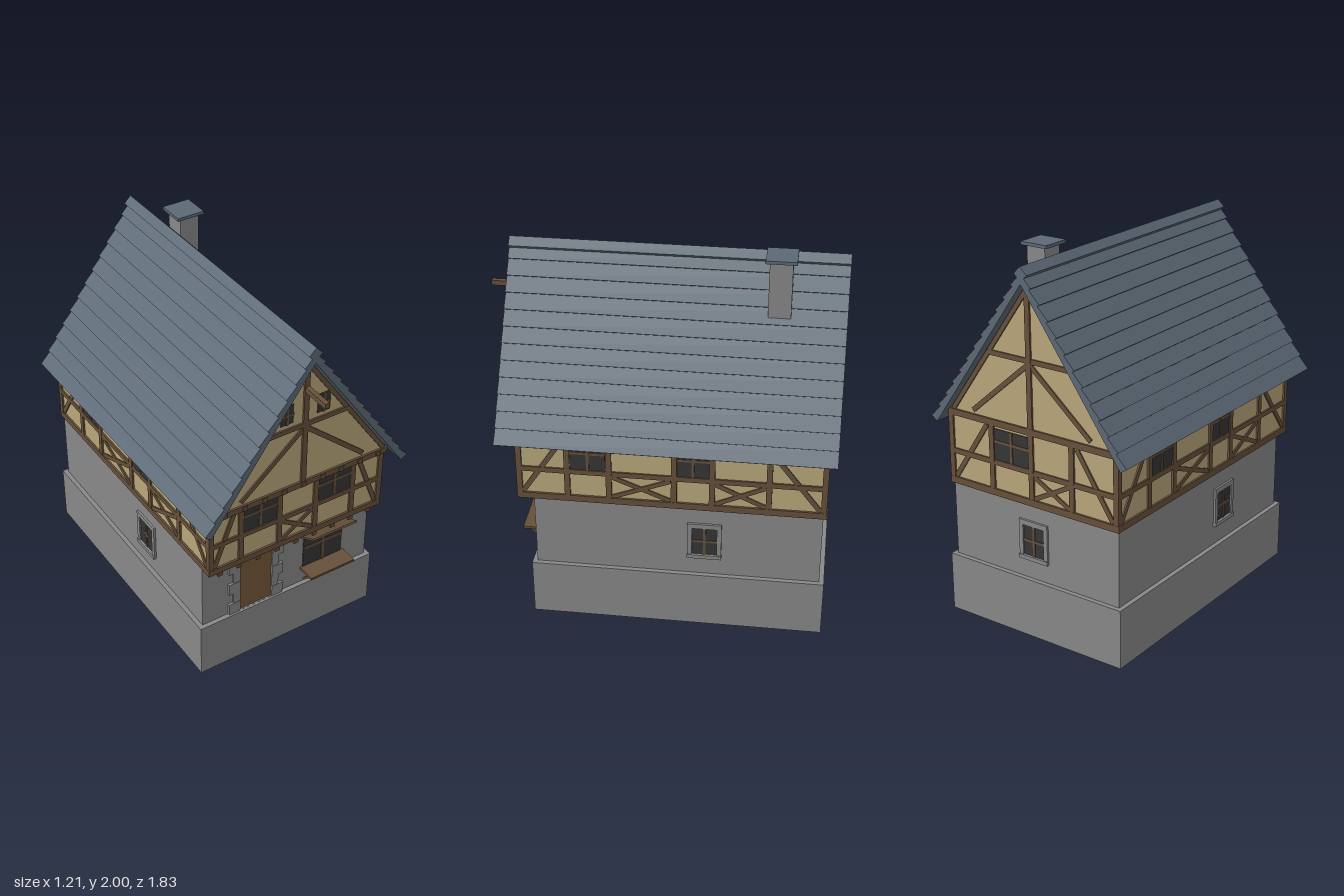
import * as THREE from 'three';

const mat = (name, color) => Object.assign(new THREE.MeshStandardMaterial({ color }), { name });

export function createModel() {
  const root = new THREE.Group();
  root.name = 'timberFrameHouse';
  const stone = mat('stone', 0x888888);
  const plaster = mat('plaster', 0xb8a77a);
  const wood = mat('timber', 0x66503a);
  const doorWood = mat('doorWood', 0x74583a);
  const slate = mat('slate', 0x5c6975);
  const glass = mat('darkGlass', 0x353535);

  const add = (parent, name, geo, m) => {
    const mesh = new THREE.Mesh(geo, m);
    mesh.name = name;
    parent.add(mesh);
    return mesh;
  };
  // box given by its minimum and maximum corners
  const block = (parent, name, m, x0, x1, y0, y1, z0, z1) => {
    const mesh = add(parent, name, new THREE.BoxGeometry(x1 - x0, y1 - y0, z1 - z0), m);
    mesh.position.set((x0 + x1) / 2, (y0 + y1) / 2, (z0 + z1) / 2);
    return mesh;
  };
  const extrude = (shape, z0, z1) => new THREE.ExtrudeGeometry(shape,
    { depth: z1 - z0, bevelEnabled: false, curveSegments: 8 }).translate(0, 0, z0);
  // a wall face: local x runs along the wall, local z points outwards
  const face = (name, x, z, turn) => {
    const g = new THREE.Group();
    g.name = name;
    g.position.set(x, 0, z);
    g.rotation.y = turn;
    root.add(g);
    return g;
  };
  // timber between two points on a wall face
  const beam = (g, x0, y0, x1, y1, w = 0.03, out = 0.01) => {
    const geo = new THREE.BoxGeometry(Math.hypot(x1 - x0, y1 - y0), w, 0.02);
    const b = add(g, 'beam', geo, wood);
    b.position.set((x0 + x1) / 2, (y0 + y1) / 2, out - 0.01);
    b.rotation.z = Math.atan2(y1 - y0, x1 - x0);
  };
  const windowPane = (g, x0, x1, y0, y1, bar = 0.014, split = 0.5) => {
    block(g, 'windowGlass', glass, x0, x1, y0, y1, -0.003, 0.004);
    const xm = (x0 + x1) / 2, ym = y0 + (y1 - y0) * split;
    block(g, 'windowBar', wood, xm - bar / 2, xm + bar / 2, y0, y1, 0, 0.008);
    block(g, 'windowBar', wood, x0, x1, ym - bar / 2, ym + bar / 2, 0, 0.0075);
  };
  const cross = (g, x0, x1) => {
    beam(g, x0, 0.77, x1, 0.89, 0.024, 0.007);
    beam(g, x0, 0.89, x1, 0.77, 0.024, 0.0065);
  };
  // sill, rail, head and posts of the upper storey
  const frame = (g, half, posts) => {
    beam(g, -half, 0.747, half, 0.747, 0.036, 0.011);
    beam(g, -half, 0.91, half, 0.91, 0.028, 0.009);
    beam(g, -half, 1.122, half, 1.122, 0.034, 0.011);
    for (const x of posts) beam(g, x, 0.74, x, 1.13);
  };

  // masonry and plaster bodies
  block(root, 'plinth', stone, -0.545, 0.545, 0, 0.32, -0.885, 0.66);
  block(root, 'groundFloor', stone, -0.52, 0.52, 0.32, 0.735, -0.86, 0.635);
  block(root, 'upperFloor', plaster, -0.52, 0.52, 0.732, 1.13, -0.865, 0.71);
  const gableShape = new THREE.Shape([[-0.525, 1.125], [0.525, 1.125], [0, 1.872]].map(p => new THREE.Vector2(...p)));
  add(root, 'gableBody', extrude(gableShape, -0.865, 0.745), plaster);

  // front and back upper storey
  const front = face('frontUpperWall', 0, 0.71, 0);
  frame(front, 0.53, [-0.515, -0.34, -0.11, 0.11, 0.34, 0.515]);
  cross(front, -0.095, 0.095);
  const back = face('backUpperWall', 0, -0.865, Math.PI);
  frame(back, 0.53, [-0.515, -0.25, 0, 0.25, 0.515]);
  windowPane(back, -0.235, -0.015, 0.924, 1.09, 0.014, 0.6);
  cross(back, 0.015, 0.235);
  for (const s of [-1, 1]) {
    windowPane(front, s * 0.225 - 0.1, s * 0.225 + 0.1, 0.924, 1.09, 0.014, 0.6);
    beam(front, s * 0.37, 1.1, s * 0.495, 0.77, 0.026, 0.007);
    beam(back, s * 0.28, 1.1, s * 0.495, 0.77, 0.026, 0.007);
  }

  // long sides, the same pattern turned half round
  for (const s of [1, -1]) {
    const g = face(s > 0 ? 'leftUpperWall' : 'rightUpperWall', s * 0.52, -0.0775, s * Math.PI / 2);
    frame(g, 0.7975, [-0.7825, -0.5325, -0.3175, 0.0175, 0.2125, 0.5025, 0.7825]);
    windowPane(g, -0.515, -0.335, 0.924, 1.09, 0.014, 0.6);
    windowPane(g, 0.03, 0.198, 0.924, 1.09, 0.014, 0.6);
    cross(g, -0.3, 0.0);
    cross(g, 0.228, 0.488);
    beam(g, -0.55, 1.1, -0.765, 0.77, 0.026, 0.007);
    beam(g, 0.52, 1.09, 0.765, 0.77, 0.026, 0.007);
  }

  // gable timbers
  for (const [name, z, turn] of [['frontGable', 0.745, 0], ['backGable', -0.865, Math.PI]]) {
    const g = face(name, 0, z, turn);
    beam(g, 0, 1.13, 0, 1.845);
    beam(g, -0.26, 1.488, 0.26, 1.488, 0.026, 0.009);
    beam(g, -0.52, 1.122, 0.52, 1.122, 0.034, 0.011);
    for (const s of [-1, 1]) {
      beam(g, s * 0.497, 1.14, 0, 1.846, 0.024, 0.008);
      beam(g, s * 0.01, 1.465, s * 0.365, 1.16, 0.026, 0.007);
      if (turn === 0) windowPane(g, s * 0.107 - 0.037, s * 0.107 + 0.037, 1.525, 1.635, 0.012);
    }
  }
  // joist ends below both jetties, and the hoist beam
  for (let i = -4; i <= 4; i++) {
    const x = i * 0.115;
    block(root, 'joistEnd', wood, x - 0.014, x + 0.014, 0.7, 0.732, 0.6, 0.715);
    block(root, 'upperJoistEnd', wood, x - 0.014, x + 0.014, 1.108, 1.135, 0.7, 0.762);
  }
  block(root, 'hoistBeam', wood, -0.013, 0.013, 1.685, 1.712, 0.7, 0.915);

  // roof slopes with overlapping slate courses
  const a = Math.atan(1.42), c = Math.cos(a), n = Math.sin(a);
  const roofPoint = (s, h) => new THREE.Vector2(c * s + n * h, 1.93 - n * s + c * h);
  const outline = [roofPoint(0.0425, -0.03), roofPoint(1.035, -0.03)];
  const courses = 12, step = 1.035 / courses;
  for (let i = courses; i > 0; i--) {
    outline.push(roofPoint(i * step, 0.013), roofPoint((i - 1) * step, 0));
  }
  for (const s of [1, -1]) {
    const pts = outline.map(p => new THREE.Vector2(s * p.x, p.y));
    add(root, s > 0 ? 'leftRoofSlope' : 'rightRoofSlope', extrude(new THREE.Shape(pts), -0.915, 0.81), slate);
  }
  const ridge = add(root, 'ridgeCap', new THREE.BoxGeometry(0.054, 0.054, 1.725), slate);
  ridge.position.set(0, 1.926, -0.0525);
  ridge.rotation.z = Math.PI / 4;

  // chimney
  block(root, 'chimney', stone, 0.075, 0.185, 1.62, 1.985, -0.635, -0.52);
  block(root, 'chimneyCap', slate, 0.05, 0.207, 1.983, 2, -0.655, -0.5);

  // arched door with a stone surround of alternating blocks
  const entry = face('entry', -0.197, 0.635, 0);
  const arch = (T, r, y0, spring) => {
    const p = new T();
    p.moveTo(-r, y0);
    p.lineTo(r, y0);
    p.lineTo(r, spring);
    p.absarc(0, spring, r, 0, Math.PI, false);
    p.lineTo(-r, y0);
    return p;
  };
  const surround = arch(THREE.Shape, 0.14, 0.32, 0.597);
  surround.holes.push(arch(THREE.Path, 0.098, 0.321, 0.61));
  add(entry, 'doorSurround', extrude(surround, -0.01, 0.012), stone);
  add(entry, 'door', extrude(arch(THREE.Shape, 0.1, 0.32, 0.61), -0.01, 0.004), doorWood);
  for (const s of [-1, 1]) for (const y of [0.32, 0.46, 0.6]) {
    const x = s * 0.133;
    block(entry, 'surroundBlock', stone, x - 0.034, x + 0.034, y, y + 0.07, -0.01, 0.014);
  }

  // shop window with raised shutter and propped counter
  const shop = face('shopWindow', 0.23, 0.635, 0);
  windowPane(shop, -0.125, 0.125, 0.42, 0.695, 0.016, 0.48);
  block(shop, 'counter', wood, -0.14, 0.14, 0.41, 0.424, 0, 0.105);
  const shutter = add(shop, 'shutter', new THREE.BoxGeometry(0.28, 0.01, 0.122), wood);
  shutter.position.set(0, 0.665, 0.053);
  shutter.rotation.x = -0.51;
  for (const x of [-0.107, 0.107]) {
    const strut = add(shop, 'counterStrut', new THREE.BoxGeometry(0.016, 0.012, 0.125), wood);
    strut.position.set(x, 0.372, 0.045);
    strut.rotation.x = -0.76;
  }

  // small ground floor windows in stone frames
  for (const [name, x, z, turn] of [['leftSmallWindow', 0.52, -0.255, Math.PI / 2],
    ['rightSmallWindow', -0.52, 0.08, -Math.PI / 2], ['backSmallWindow', 0, -0.86, Math.PI]]) {
    const g = face(name, x, z, turn);
    windowPane(g, -0.066, 0.066, 0.445, 0.615, 0.014);
    for (const s of [-1, 1]) block(g, 'frameJamb', stone, s * 0.077 - 0.012, s * 0.077 + 0.012, 0.445, 0.64, -0.005, 0.012);
    block(g, 'frameHead', stone, -0.065, 0.065, 0.612, 0.64, -0.005, 0.012);
    block(g, 'frameSill', stone, -0.09, 0.09, 0.425, 0.447, -0.005, 0.018);
  }
  return root;
}
